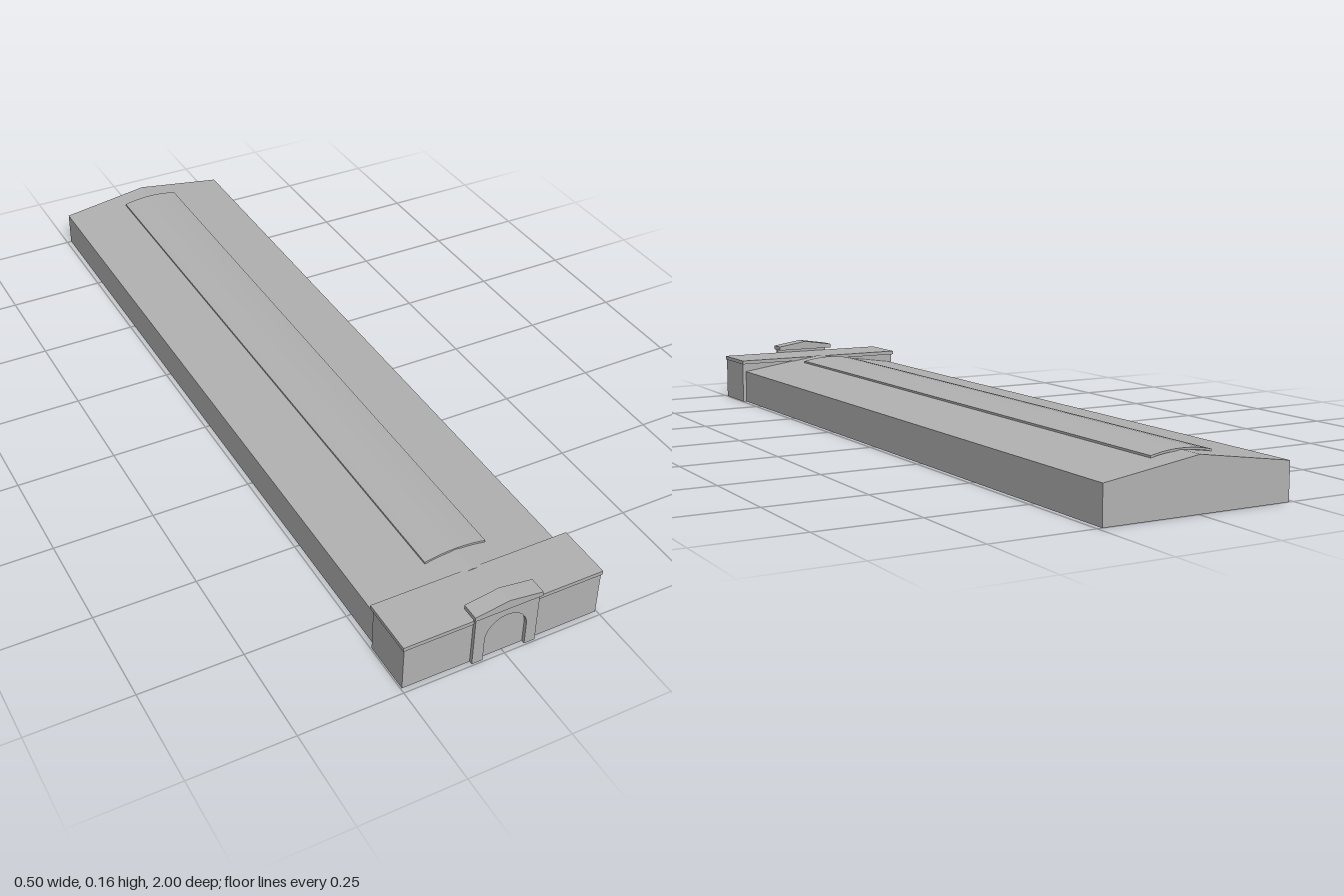
import * as THREE from 'three';

const stone = new THREE.MeshStandardMaterial({ color: 0xb2b2b2, side: THREE.DoubleSide });
stone.name = 'stone grey';

const EAVE = 0.09, RIDGE = 0.125, HALF = 0.238, BACK = -1, FRONT = 0.856;
const roofY = (x) => RIDGE - (RIDGE - EAVE) * Math.abs(x) / HALF;

export function createModel() {
  const model = new THREE.Group();
  model.name = 'marketHall';

  const add = (parent, name, geometry, x = 0, y = 0, z = 0) => {
    const mesh = new THREE.Mesh(geometry, stone);
    mesh.name = name;
    mesh.position.set(x, y, z);
    parent.add(mesh);
    return mesh;
  };
  const group = (name) => {
    const g = new THREE.Group();
    g.name = name;
    model.add(g);
    return g;
  };
  const polygon = (points) => new THREE.Shape(points.map(([x, y]) => new THREE.Vector2(x, y)));
  const extrude = (shape, depth) =>
    new THREE.ExtrudeGeometry(shape, { depth, bevelEnabled: false, curveSegments: 12 });
  // single four-cornered sheet, corners counter-clockwise from outside
  const quad = (a, b, c, d) => {
    const g = new THREE.BufferGeometry();
    g.setAttribute('position', new THREE.Float32BufferAttribute([...a, ...b, ...c, ...d], 3));
    g.setIndex([0, 1, 2, 0, 2, 3]);
    g.computeVertexNormals();
    return g;
  };

  // Long hall: thin shell, open underneath
  const hall = group('hall');
  const gable = new THREE.ShapeGeometry(polygon(
    [[-HALF, 0], [HALF, 0], [HALF, EAVE], [0, RIDGE], [-HALF, EAVE]]));
  add(hall, 'backGable', gable.clone().rotateY(Math.PI), 0, 0, BACK);
  add(hall, 'frontGable', gable, 0, 0, FRONT);
  add(hall, 'leftWall',
    quad([HALF, 0, FRONT], [HALF, 0, BACK], [HALF, EAVE, BACK], [HALF, EAVE, FRONT]));
  add(hall, 'rightWall',
    quad([-HALF, 0, BACK], [-HALF, 0, FRONT], [-HALF, EAVE, FRONT], [-HALF, EAVE, BACK]));

  // Roof slopes, leaving a long slot under the skylight
  const slot = 0.074, slotBack = -0.93, slotFront = 0.78;
  const roofPanel = (name, x0, x1, z0, z1) => add(hall, name, quad(
    [x0, roofY(x0), z1], [x1, roofY(x1), z1], [x1, roofY(x1), z0], [x0, roofY(x0), z0]));
  for (const [side, s] of [['left', 1], ['right', -1]]) {
    const panel = (name, a, b, z0, z1) =>
      roofPanel(side + name, Math.min(s * a, s * b), Math.max(s * a, s * b), z0, z1);
    panel('RoofSlope', slot, HALF, BACK, FRONT);
    panel('RoofBackEnd', 0, slot, BACK, slotBack);
    panel('RoofFrontEnd', 0, slot, slotFront, FRONT);
  }

  // Raised skylight: shallow arched strip along the ridge
  const arch = [];
  for (let i = 0; i <= 10; i++) {
    const t = i / 5 - 1;
    arch.push([0.078 * t, 0.128 - 0.009 * t * t]);
  }
  const lower = arch.map(([x, y]) => [x, y - 0.005]).reverse();
  add(hall, 'skylight', extrude(polygon([...arch, ...lower]), 1.725), 0, 0, -0.938);

  // Front building: open-bottomed block with a flat cap
  const frontBuilding = group('frontBuilding');
  const w = 0.247, h = 0.113, zb = 0.858, zf = 0.987;
  add(frontBuilding, 'frontWall', quad([-w, 0, zf], [w, 0, zf], [w, h, zf], [-w, h, zf]));
  add(frontBuilding, 'backWall', quad([w, 0, zb], [-w, 0, zb], [-w, h, zb], [w, h, zb]));
  add(frontBuilding, 'leftEndWall', quad([w, 0, zf], [w, 0, zb], [w, h, zb], [w, h, zf]));
  add(frontBuilding, 'rightEndWall', quad([-w, 0, zb], [-w, 0, zf], [-w, h, zf], [-w, h, zb]));
  add(frontBuilding, 'cap', new THREE.BoxGeometry(0.5, 0.01, 0.139), 0, 0.118, 0.9195);

  // Portal: thin slab with an arched opening
  const portal = group('portal');
  const slab = new THREE.Shape();
  slab.moveTo(-0.08, 0);
  slab.lineTo(-0.053, 0);
  slab.lineTo(-0.053, 0.059);
  slab.absarc(0, 0.059, 0.053, Math.PI, 0, true);
  slab.lineTo(0.053, 0);
  slab.lineTo(0.08, 0);
  slab.lineTo(0.08, 0.133);
  slab.lineTo(-0.08, 0.133);
  slab.closePath();
  add(portal, 'archSurround', extrude(slab, 0.009), 0, 0, 0.987);
  add(portal, 'pediment', extrude(polygon(
    [[-0.085, 0.133], [0.085, 0.133], [0.085, 0.144], [0, 0.157], [-0.085, 0.144]]), 0.043),
    0, 0, 0.957);

  return model;
}
